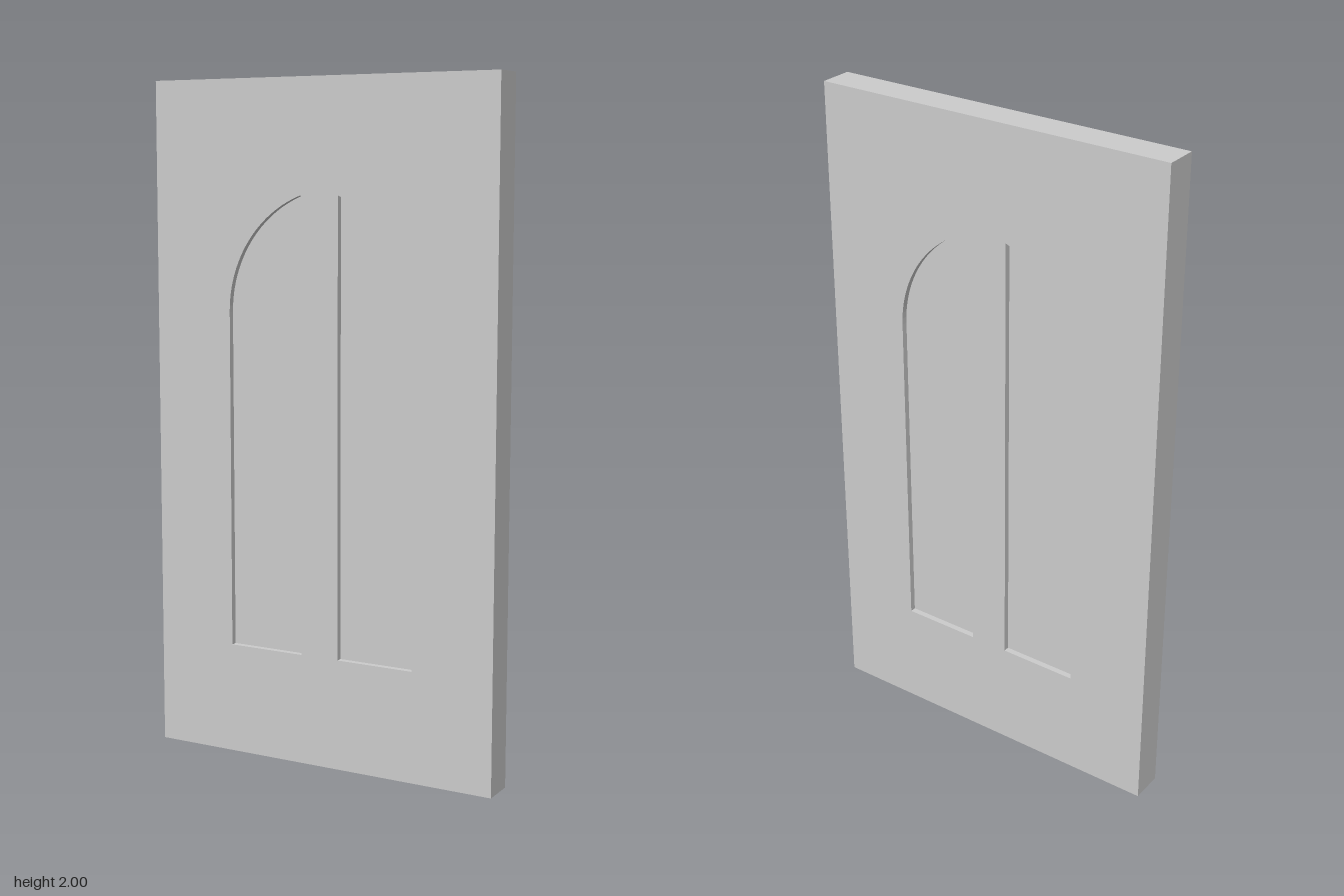
import * as THREE from 'three';

const WIDTH = 1.1, HEIGHT = 2, DEPTH = 0.1, RECESS = 0.018;

// Half of a pointed-arch opening; side is +1 (left) or -1 (right)
function panelOutline(side, PathType) {
  const inner = 0.06, outer = 0.3, bottom = 0.33, spring = 1.33;
  const centre = -0.06, radius = outer - centre;
  const end = Math.acos((inner - centre) / radius);
  const points = [new THREE.Vector2(side * inner, bottom), new THREE.Vector2(side * outer, bottom)];
  const steps = 24;
  for (let i = 0; i <= steps; i++) {
    const a = (end * i) / steps;
    points.push(new THREE.Vector2(side * (centre + radius * Math.cos(a)), spring + radius * Math.sin(a)));
  }
  return new PathType(points);
}

export function createModel() {
  const door = new THREE.Group();
  door.name = 'door';
  const material = new THREE.MeshStandardMaterial({ color: 0xcccccc });

  // Slab with two arched openings
  const slab = new THREE.Shape([
    new THREE.Vector2(-WIDTH / 2, 0), new THREE.Vector2(WIDTH / 2, 0),
    new THREE.Vector2(WIDTH / 2, HEIGHT), new THREE.Vector2(-WIDTH / 2, HEIGHT),
  ]);
  for (const side of [1, -1]) slab.holes.push(panelOutline(side, THREE.Path));
  const slabGeometry = new THREE.ExtrudeGeometry(slab, { depth: DEPTH, bevelEnabled: false });
  slabGeometry.translate(0, 0, -DEPTH / 2);
  const frame = new THREE.Mesh(slabGeometry, material);
  frame.name = 'doorSlab';
  door.add(frame);

  // Recessed panel faces, front and back of each opening
  for (const side of [1, -1]) {
    for (const face of [1, -1]) {
      // A half turn for the back swaps left and right
      const panel = new THREE.Mesh(new THREE.ShapeGeometry(panelOutline(side * face, THREE.Shape)), material);
      panel.position.z = face * (DEPTH / 2 - RECESS);
      if (face < 0) panel.rotation.y = Math.PI;
      panel.name = (side > 0 ? 'left' : 'right') + (face > 0 ? 'Front' : 'Back') + 'Panel';
      door.add(panel);
    }
  }
  return door;
}
